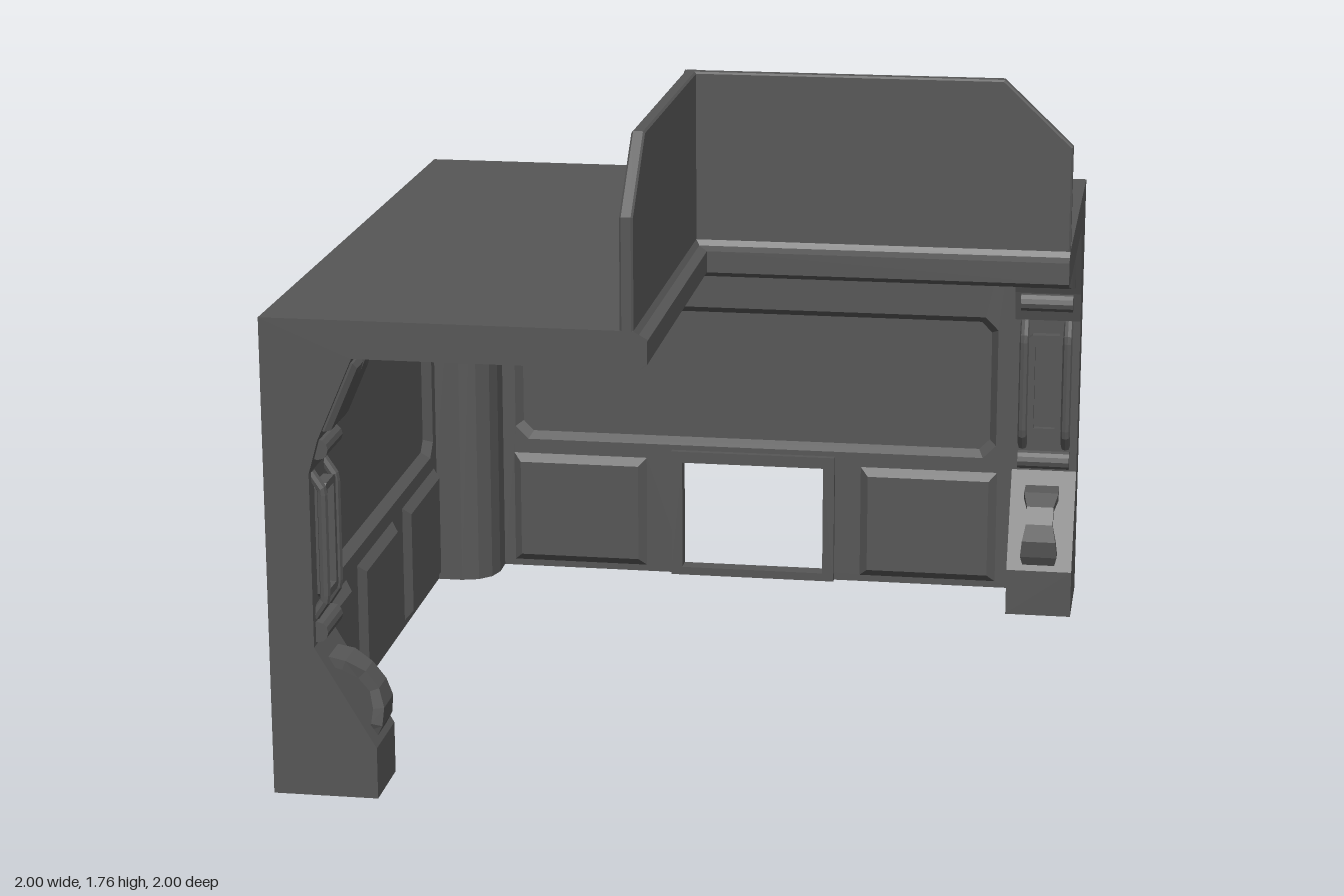
import * as THREE from 'three';

const mat = new THREE.MeshStandardMaterial({ color: 0x565656, flatShading: true, side: THREE.DoubleSide });
const V = (x, y, z) => new THREE.Vector3(x, y, z);
const WALL = -0.965, SOFFIT = 1.19, ROOF = 1.29;
const COLUMN = -0.79, PILLAR = 0.805; // where the wall meets the column and the pillar

function add(parent, name, geometry) {
  const m = new THREE.Mesh(geometry, mat);
  m.name = name;
  parent.add(m);
  return m;
}

const poly = (pts) => new THREE.Shape(pts.map(([x, y]) => new THREE.Vector2(x, y)));

// flat quads between two matching rows of points
function loft(a, b, closed = false) {
  const tri = [];
  const n = closed ? a.length : a.length - 1;
  for (let i = 0; i < n; i++) {
    const j = (i + 1) % a.length;
    tri.push(a[i], b[i], b[j], a[i], b[j], a[j]);
  }
  const g = new THREE.BufferGeometry().setFromPoints(tri);
  g.computeVertexNormals();
  return g;
}

// rectangle outline with clipped corners
function outline(cx, cy, w, h, c) {
  const x = w / 2, y = h / 2;
  const pts = c > 0
    ? [[-x + c, -y], [x - c, -y], [x, -y + c], [x, y - c], [x - c, y], [-x + c, y], [-x, y - c], [-x, -y + c]]
    : [[-x, -y], [x, -y], [x, y], [-x, y]];
  return pts.map(([px, py]) => [cx + px, cy + py]);
}

// bevelled panel, raised or sunk by depth; returns its outer outline
function panel(parent, name, cx, cy, w, h, c, bevel, depth) {
  const outer = outline(cx, cy, w, h, c);
  const inner = outline(cx, cy, w - 2 * bevel, h - 2 * bevel, c * 0.8);
  const g = new THREE.Group();
  g.name = name;
  parent.add(g);
  add(g, name + 'Bevel', loft(outer.map(([x, y]) => V(x, y, WALL)), inner.map(([x, y]) => V(x, y, WALL + depth)), true));
  add(g, name + 'Face', new THREE.ShapeGeometry(poly(inner))).position.z = WALL + depth;
  return outer;
}

function buildWall(wing, hasWindow) {
  const wall = poly([[COLUMN, 0], [PILLAR, 0], [PILLAR, ROOF], [COLUMN, ROOF]]);
  const cut = (pts) => wall.holes.push(poly(pts));
  cut(panel(wing, 'upperPanel', 0, 0.638, 1.5, 0.445, 0.04, 0.021, -0.027));
  for (const x of hasWindow ? [-0.545, 0.545] : [-0.545, 0, 0.545])
    cut(panel(wing, 'lowerPanel', x, 0.195, 0.42, 0.35, 0, 0.024, 0.022));
  if (hasWindow) {
    const opening = outline(0, 0.195, 0.44, 0.34, 0);
    cut(opening);
    const frame = poly(outline(0, 0.2, 0.51, 0.4, 0));
    frame.holes.push(poly(opening));
    add(wing, 'windowFrame', new THREE.ExtrudeGeometry(frame, { depth: 0.05, bevelEnabled: false })).position.z = -0.995;
  }
  add(wing, 'wall', new THREE.ShapeGeometry(wall)).position.z = WALL;
}

function buildPillar(wing) {
  const pillar = new THREE.Group();
  pillar.name = 'endPillar';
  wing.add(pillar);
  // profile as [z, y]
  const profile = [[-0.72, 0], [-0.72, 0.14], [-0.88, 0.41], [-0.88, 0.88], [-0.855, 0.97], [-0.76, SOFFIT]];
  const at = (x) => profile.map(([z, y]) => V(x, y, z));
  add(pillar, 'pillarFace', loft(at(PILLAR), at(1)));
  // side plates; the shape's x axis becomes z
  const plate = (name, pts, x) => add(pillar, name, new THREE.ShapeGeometry(poly(pts.map(([z, y]) => [-z, y]))).rotateY(Math.PI / 2)).position.x = x;
  plate('innerPlate', [[-1, 0], ...profile, [-1, SOFFIT]], PILLAR);
  plate('outerPlate', [[-1, 0], ...profile, [-0.02, SOFFIT], [0, 1.21], [0, 1.27], [-0.035, ROOF], [-1, ROOF]], 1);

  // twin ridged ribs on the upper slope
  for (const x of [0.86, 0.944]) {
    const rib = poly(outline(0, 0, 0.08, 0.2, 0));
    const m = add(pillar, 'upperRib', new THREE.ExtrudeGeometry(rib, { depth: 0.008, bevelSize: 0.03, bevelOffset: -0.03, bevelThickness: 0.02, bevelSegments: 2 }));
    m.position.set(x, 1.085, -0.808);
    m.rotation.x = 0.41;
  }
  // round cross bars
  for (const [y, z] of [[0.94, -0.862], [0.445, -0.875]]) {
    const bar = add(pillar, 'crossBar', new THREE.CylinderGeometry(0.028, 0.028, 0.155, 12).rotateZ(Math.PI / 2));
    bar.position.set(0.9, y, z);
  }
  // upright rods bent back into the pillar at both ends
  const rodPath = new THREE.CurvePath();
  const rodPts = [V(0, 0.485, -0.885), V(0, 0.53, -0.855), V(0, 0.83, -0.855), V(0, 0.875, -0.885)];
  for (let i = 0; i < 3; i++) rodPath.add(new THREE.LineCurve3(rodPts[i], rodPts[i + 1]));
  for (const x of [0.835, 0.965])
    add(pillar, 'uprightRod', new THREE.TubeGeometry(rodPath, 24, 0.014, 8)).position.x = x;
  // framed plaque between the rods
  const frame = poly(outline(0, 0, 0.1, 0.31, 0.01));
  frame.holes.push(poly(outline(0, 0, 0.064, 0.27, 0)));
  add(pillar, 'plaqueFrame', new THREE.ExtrudeGeometry(frame, { depth: 0.03, bevelEnabled: false })).position.set(0.9, 0.685, -0.88);
  add(pillar, 'plaque', new THREE.BoxGeometry(0.07, 0.28, 0.012)).position.set(0.9, 0.685, -0.876);

  // arched bracket on the lower slope, narrowest near its shoulder; rows of [z, y, half width]
  const outer = [[-0.86, 0.37, 0.05], [-0.81, 0.36, 0.052], [-0.76, 0.33, 0.04], [-0.725, 0.285, 0.04], [-0.71, 0.235, 0.05], [-0.715, 0.185, 0.055], [-0.735, 0.145, 0.045]];
  const inner = [[-0.86, 0.345, 0.05], [-0.82, 0.335, 0.052], [-0.78, 0.31, 0.04], [-0.75, 0.275, 0.04], [-0.74, 0.23, 0.05], [-0.745, 0.19, 0.055], [-0.76, 0.165, 0.045]];
  const edge = (rows, s) => rows.map(([z, y, w]) => V(0.9 + s * w, y, z));
  const corners = [edge(outer, -1), edge(outer, 1), edge(inner, 1), edge(inner, -1)];
  corners.forEach((row, i) => add(pillar, 'archedBracket', loft(row, corners[(i + 1) % 4])));
}

function buildSign(wing) {
  const board = poly([[-0.07, 1.28], [1, 1.28], [1, 1.58], [0.81, 1.76], [-0.07, 1.76]]);
  add(wing, 'signBoard', new THREE.ExtrudeGeometry(board, { depth: 0.025, bevelSize: 0.005, bevelOffset: -0.005, bevelThickness: 0.005, bevelSegments: 1 })).position.z = -0.065;
  // fascia as [z, y], mitred at the inner corner
  const fascia = [[-0.035, ROOF], [-0.025, 1.275], [0, 1.265], [0, 1.205], [-0.02, SOFFIT]];
  add(wing, 'fascia', loft(fascia.map(([z, y]) => V(z, y, z)), fascia.map(([z, y]) => V(1, y, z))));
}

function buildWing(name, hasWindow) {
  const wing = new THREE.Group();
  wing.name = name;
  buildWall(wing, hasWindow);
  buildPillar(wing);
  buildSign(wing);
  return wing;
}

export function createModel() {
  const model = new THREE.Group();
  model.name = 'cornerCanopy';
  model.add(buildWing('backWing', true));

  // side wing: the same parts with x and z exchanged
  const side = buildWing('sideWing', false);
  side.scale.x = -1;
  side.rotation.y = Math.PI / 2;
  model.add(side);

  // L-shaped roof and soffit as [x, z]; the soffit stops at the walls but covers column and pillars
  const slab = (name, pts, y) => add(model, name, new THREE.ShapeGeometry(
    poly(pts.map(([x, z]) => [x, -z]))).rotateX(-Math.PI / 2)).position.y = y;
  const inside = (e) => [[-1, 1], [e, 1], [e, e], [1, e], [1, -1]];
  slab('roof', [...inside(-0.035), [-1, -1]], ROOF);
  const notch = [[PILLAR, -1], [PILLAR, WALL], [COLUMN, WALL], [COLUMN, -1]];
  const sideNotch = notch.map(([x, z]) => [z, x]).reverse();
  slab('soffit', [...inside(-0.02), ...notch, [-1, -1], ...sideNotch], SOFFIT);

  // rounded column in the inner corner, as [x, z]
  const section = [[-1, COLUMN], [-0.89, COLUMN], [-0.84, -0.805], [-0.805, -0.84], [COLUMN, -0.89], [COLUMN, -1]];
  const ring = (y) => section.map(([x, z]) => V(x, y, z));
  add(model, 'cornerColumn', loft(ring(0), ring(SOFFIT)));
  return model;
}
